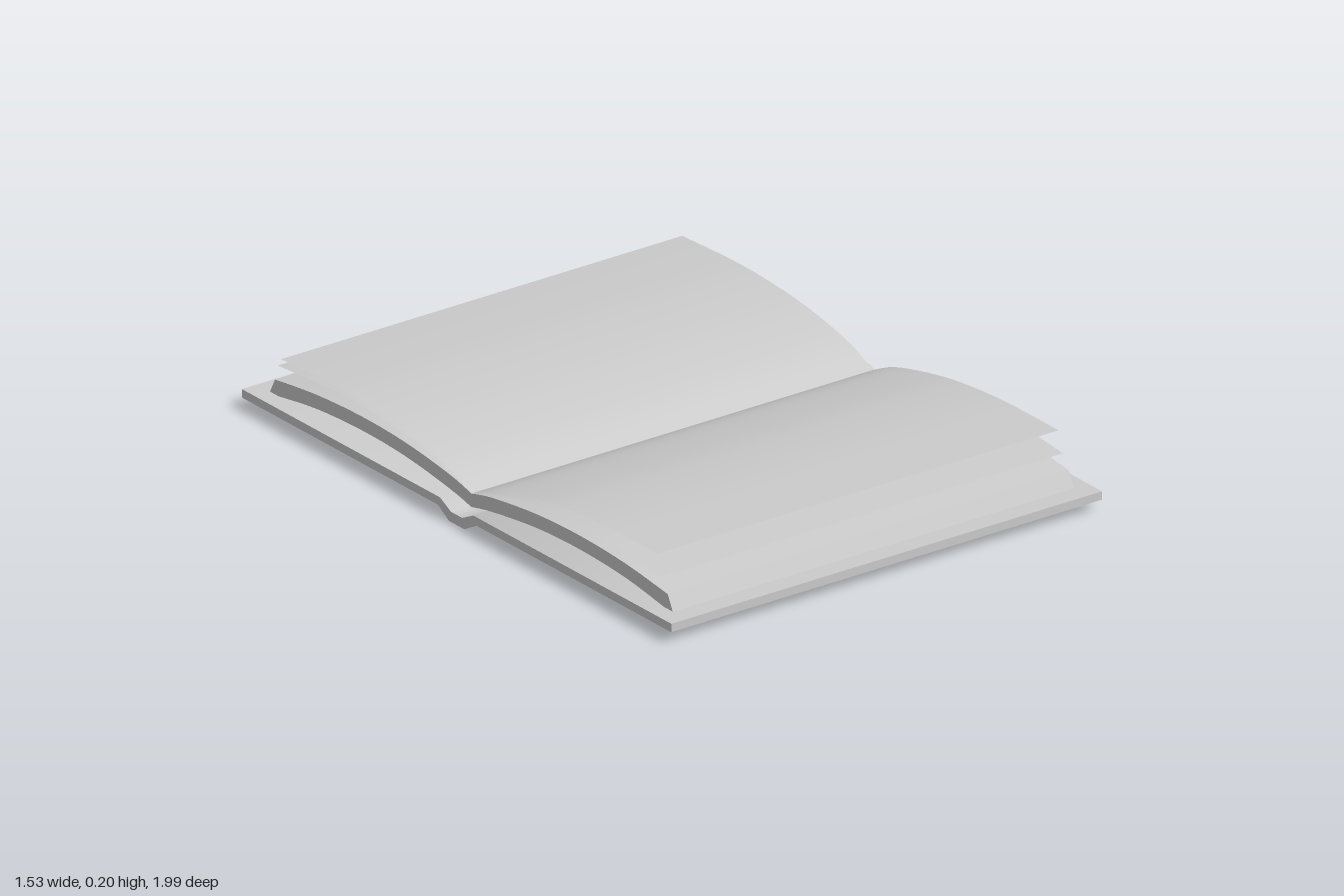
import * as THREE from 'three';
import { toCreasedNormals } from 'three/addons/utils/BufferGeometryUtils.js';

const COVER_LENGTH = 1.46;
const PAGE_LENGTH = 1.36;
const material = new THREE.MeshStandardMaterial({ color: 0xcccccc });
const paper = new THREE.MeshStandardMaterial({ color: 0xcccccc, side: THREE.DoubleSide });

// Smooth run of points through a few [z, y] controls
function smooth(points, n = 20) {
  return new THREE.SplineCurve(points.map(([z, y]) => new THREE.Vector2(z, y))).getPoints(n);
}

// Solid with a constant [z, y] section running along x
function sectionSolid(name, points, length) {
  const shape = new THREE.Shape(points.map((p) => new THREE.Vector2(-p.x, p.y)));
  const geometry = new THREE.ExtrudeGeometry(shape, { depth: length, bevelEnabled: false });
  geometry.translate(0, 0, -length / 2).rotateY(Math.PI / 2);
  const mesh = new THREE.Mesh(toCreasedNormals(geometry, 0.5), material);
  mesh.name = name;
  return mesh;
}

// Single curved leaf following a [z, y] curve
function leaf(name, controls) {
  const steps = 20;
  const curve = smooth(controls, steps);
  const geometry = new THREE.PlaneGeometry(PAGE_LENGTH, 1, 1, steps);
  geometry.rotateX(-Math.PI / 2);
  const position = geometry.attributes.position;
  // Rows run from back to front; keep that order so the top faces up
  if (curve[0].x > curve[steps].x) curve.reverse();
  for (let i = 0; i < position.count; i++) {
    const p = curve[Math.floor(i / 2)];
    position.setY(i, p.y);
    position.setZ(i, p.x);
  }
  geometry.computeVertexNormals();
  const mesh = new THREE.Mesh(geometry, paper);
  mesh.name = name;
  return mesh;
}

export function createModel() {
  const book = new THREE.Group();
  book.name = 'openBook';

  // Cover: two flat boards joined by a sunken spine
  const coverSection = [
    [0.97, 0.055], [0.075, 0.055], [0.025, 0.03], [-0.025, 0.03], [-0.075, 0.055], [-0.97, 0.055],
    [-0.97, 0.03], [-0.085, 0.03], [-0.035, 0], [0.035, 0], [0.085, 0.03], [0.97, 0.03],
  ].map(([z, y]) => new THREE.Vector2(z, y));
  book.add(sectionSolid('cover', coverSection, COVER_LENGTH));

  // Arched page blocks, one on each side of the gutter
  const blockTop = [[0, 0.08], [0.1, 0.102], [0.3, 0.125], [0.5, 0.131], [0.7, 0.122], [0.887, 0.1]];
  const blockBottom = [[0.87, 0.056], [0.7, 0.08], [0.5, 0.09], [0.3, 0.084], [0.1, 0.06], [0, 0.04]];
  for (const side of [1, -1]) {
    const flip = (points) => points.map(([z, y]) => [z * side, y]);
    const section = [
      ...smooth(flip(blockTop)),
      new THREE.Vector2(0.91 * side, 0.056),
      ...smooth(flip(blockBottom)),
    ];
    book.add(sectionSolid(side > 0 ? 'frontPageBlock' : 'backPageBlock', section, PAGE_LENGTH));
  }

  // Loose leaves lifting off the blocks
  book.add(leaf('frontUpperLeaf', [[0, 0.08], [0.1, 0.125], [0.25, 0.162], [0.4, 0.187], [0.6, 0.202], [0.84, 0.203]]));
  book.add(leaf('frontLowerLeaf', [[0, 0.08], [0.1, 0.115], [0.25, 0.145], [0.4, 0.16], [0.6, 0.162], [0.86, 0.142]]));
  book.add(leaf('backUpperLeaf', [[0, 0.08], [-0.1, 0.122], [-0.25, 0.154], [-0.4, 0.172], [-0.6, 0.18], [-0.86, 0.17]]));
  book.add(leaf('backLowerLeaf', [[0, 0.08], [-0.1, 0.115], [-0.25, 0.143], [-0.4, 0.158], [-0.6, 0.163], [-0.875, 0.146]]));

  // The book lies slightly turned
  book.rotation.y = 0.035;
  const model = new THREE.Group();
  model.name = 'model';
  model.add(book);
  return model;
}
